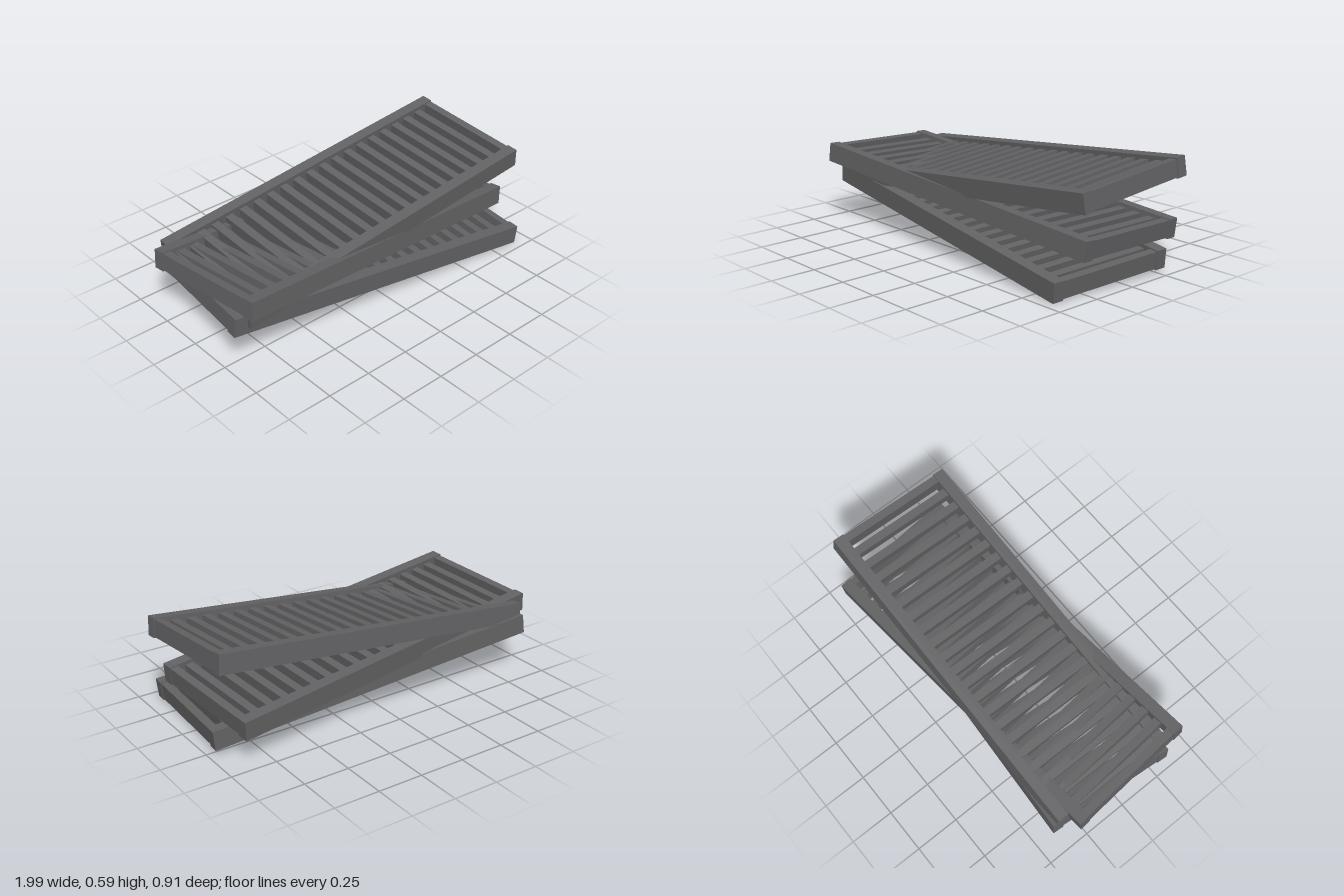
import * as THREE from 'three';

const LENGTH = 1.895, WIDTH = 0.735, HEIGHT = 0.105;
const RAIL = 0.063, SLAT = 0.045, PITCH = 0.0925, SLATS = 19;

const frameGrey = new THREE.MeshStandardMaterial({ color: 0x626264 });
frameGrey.name = 'frameGrey';

function addBox(parent, name, size, pos) {
  const mesh = new THREE.Mesh(new THREE.BoxGeometry(...size), frameGrey);
  mesh.name = name;
  mesh.position.set(...pos);
  parent.add(mesh);
}

// One slatted panel: two long rails, two end rails and a row of slats
function createPanel(name, centre, along, across) {
  const panel = new THREE.Group();
  panel.name = name;
  const inner = WIDTH - 2 * RAIL;
  for (const side of [-1, 1]) {
    addBox(panel, side > 0 ? 'frontRail' : 'backRail',
      [LENGTH, HEIGHT, RAIL], [0, 0, side * (WIDTH - RAIL) / 2]);
    addBox(panel, side > 0 ? 'leftEndRail' : 'rightEndRail',
      [SLAT, HEIGHT - 0.012, inner], [side * (LENGTH / 2 - SLAT / 2 - 0.004), 0, 0]);
  }
  for (let i = 0; i < SLATS; i++) {
    addBox(panel, 'slat', [SLAT, 0.065, inner], [(i - (SLATS - 1) / 2) * PITCH, 0, 0]);
  }
  // Lean the panel along its length and width directions
  const x = new THREE.Vector3(...along).normalize();
  const y = new THREE.Vector3(...across).cross(x).normalize();
  const z = new THREE.Vector3().crossVectors(x, y);
  panel.quaternion.setFromRotationMatrix(new THREE.Matrix4().makeBasis(x, y, z));
  panel.position.set(...centre);
  return panel;
}

export function createModel() {
  const model = new THREE.Group();
  model.name = 'stackedSlattedPanels';
  model.add(
    createPanel('bottomPanel', [0, 0.171, 0.015], [1.878, -0.205, 0.14], [-0.06, -0.025, 0.73]),
    createPanel('middlePanel', [-0.025, 0.295, -0.019], [1.882, -0.176, -0.138], [0.06, 0.04, 0.73]),
    createPanel('topPanel', [0.042, 0.414, -0.028], [1.89, 0.197, 0], [0, -0.063, 0.735])
  );
  return model;
}
